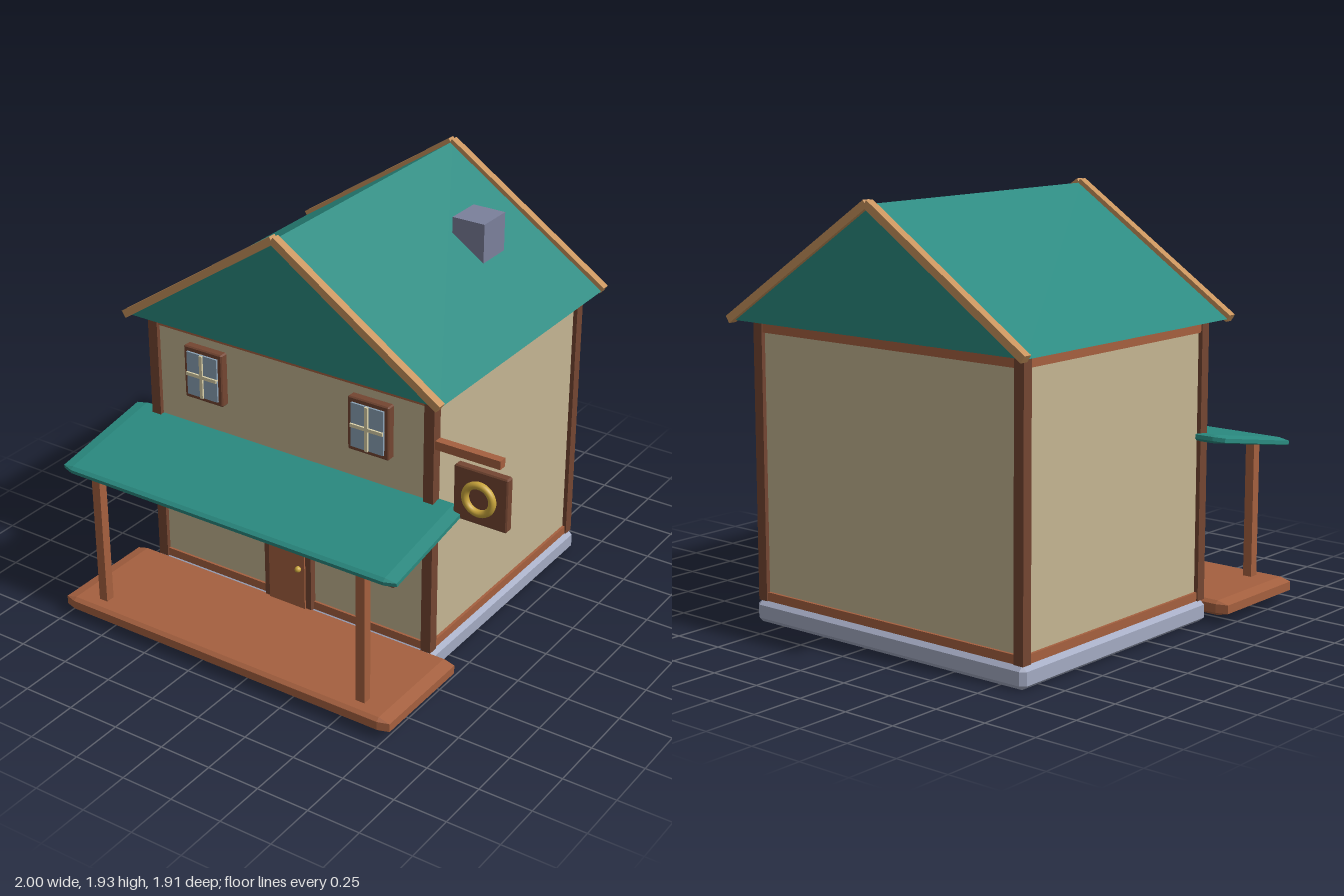
import * as THREE from 'three';
import { ConvexGeometry } from 'three/addons/geometries/ConvexGeometry.js';

const mat = (color) => new THREE.MeshStandardMaterial({ color });
const M = {
  wall: mat(0xc4b592), teal: mat(0x2a8a80), wood: mat(0xa5603f), dark: mat(0x744632),
  trim: mat(0xc8935c), stone: mat(0xa3aac2), chimney: mat(0x7b809b), glass: mat(0x8ba3b7),
  cream: mat(0xdcd2aa), gold: mat(0xcaa63c),
};
const CX = -0.115; // centre line of the house

export function createModel() {
  const house = new THREE.Group();
  house.name = 'house';

  const add = (name, geometry, material, x = 0, y = 0, z = 0, parent = house) => {
    const mesh = new THREE.Mesh(geometry, material);
    mesh.name = name;
    mesh.position.set(x, y, z);
    parent.add(mesh);
    return mesh;
  };
  // Box given by its min and max on each axis
  const box = (name, material, [x0, x1], [y0, y1], [z0, z1], parent = house) =>
    add(name, new THREE.BoxGeometry(x1 - x0, y1 - y0, z1 - z0), material,
      (x0 + x1) / 2, (y0 + y1) / 2, (z0 + z1) / 2, parent);
  // Box with chamfered edges, a separate chamfer for each axis
  const bevelBox = (w, h, d, bx, by, bz) => {
    const points = [];
    for (const x of [-w / 2, w / 2]) for (const y of [-h / 2, h / 2]) for (const z of [-d / 2, d / 2]) {
      const ix = x - Math.sign(x) * bx, iy = y - Math.sign(y) * by, iz = z - Math.sign(z) * bz;
      points.push(new THREE.Vector3(x, iy, iz), new THREE.Vector3(ix, y, iz), new THREE.Vector3(ix, iy, z));
    }
    return new ConvexGeometry(points);
  };
  const extrude = (points, depth) => new THREE.ExtrudeGeometry(
    new THREE.Shape(points.map(([x, y]) => new THREE.Vector2(x, y))), { depth, bevelEnabled: false });

  // Foundation and walls
  add('foundation', bevelBox(1.545, 0.1, 1.295, 0.025, 0.02, 0.02), M.stone, CX, 0.05, -0.228);
  box('walls', M.wall, [-0.855, 0.625], [0.09, 1.35], [-0.845, 0.395]);

  // Corner posts and the beams between them
  for (const x of [-0.875, 0.595])
    for (const z of [-0.865, 0.365]) box('cornerPost', M.dark, [x, x + 0.05], [0.1, 1.352], [z, z + 0.05]);
  for (const y of [0.1, 1.31]) {
    for (const z of [-0.858, 0.368]) box('endBeam', M.wood, [-0.83, 0.6], [y, y + 0.04], [z, z + 0.038]);
    for (const x of [-0.868, 0.6]) box('sideBeam', M.wood, [x, x + 0.038], [y, y + 0.04], [-0.82, 0.37]);
  }

  // Gabled roof with sloping trim boards at both ends
  add('roof', extrude([[-0.825, 1.365], [0.825, 1.365], [0, 1.915]], 1.415), M.teal, CX, 0, -0.935);
  const slope = Math.atan2(0.55, 0.825);
  for (const z of [-0.935, 0.48])
    for (const side of [-1, 1]) {
      const board = add('gableTrim', new THREE.BoxGeometry(0.995, 0.036, 0.04), M.trim,
        CX + side * 0.413, 1.643, z);
      board.rotation.z = -side * slope;
    }
  box('chimney', M.chimney, [0.2, 0.365], [1.355, 1.78], [-0.61, -0.43]);

  // Porch: deck, two posts and a sloping canopy
  add('porchDeck', bevelBox(1.775, 0.068, 0.55, 0.055, 0.014, 0.017), M.wood, -0.1125, 0.071, 0.68);
  for (const x of [-0.823, 0.593]) box('porchPost', M.wood, [x - 0.022, x + 0.022], [0.1, 0.765], [0.845, 0.89]);
  const canopy = add('porchRoof', bevelBox(1.775, 0.038, 0.565, 0.055, 0.01, 0.017), M.teal, -0.1125, 0.8, 0.632);
  canopy.rotation.x = 0.175;

  // Windows: frame, raised pane and crossed bars
  for (const [x, y] of [[-0.555, 1.138], [0.327, 1.138], [-0.585, 0.51], [0.36, 0.51]]) {
    const win = new THREE.Group();
    win.name = 'window';
    win.position.set(x, y, 0);
    house.add(win);
    add('windowFrame', bevelBox(0.21, 0.256, 0.045, 0.006, 0.006, 0.005), M.dark, 0, 0, 0.411, win);
    box('windowPane', M.glass, [-0.083, 0.083], [-0.105, 0.105], [0.4, 0.443], win);
    box('verticalBar', M.cream, [-0.008, 0.008], [-0.105, 0.105], [0.42, 0.452], win);
    box('horizontalBar', M.cream, [-0.083, 0.083], [-0.008, 0.008], [0.42, 0.452], win);
  }

  // Front door
  add('doorFrame', extrude([[-0.128, 0.1], [0.128, 0.1], [0.128, 0.583], [0.106, 0.615],
    [-0.106, 0.615], [-0.128, 0.583]], 0.038), M.dark, -0.113, 0, 0.39);
  box('door', M.wood, [-0.211, -0.015], [0.1, 0.58], [0.4, 0.436]);
  add('doorKnob', new THREE.SphereGeometry(0.015, 16, 12), M.gold, -0.045, 0.31, 0.443);

  // Side sign: arm, board and round emblem ring
  box('signArm', M.wood, [0.595, 0.96], [1.12, 1.16], [0.365, 0.405]);
  add('signBoard', bevelBox(0.26, 0.255, 0.04, 0.007, 0.007, 0.004), M.dark, 0.87, 0.955, 0.385);
  add('signRing', new THREE.TorusGeometry(0.066, 0.017, 12, 40), M.gold, 0.868, 0.955, 0.415);

  return house;
}
